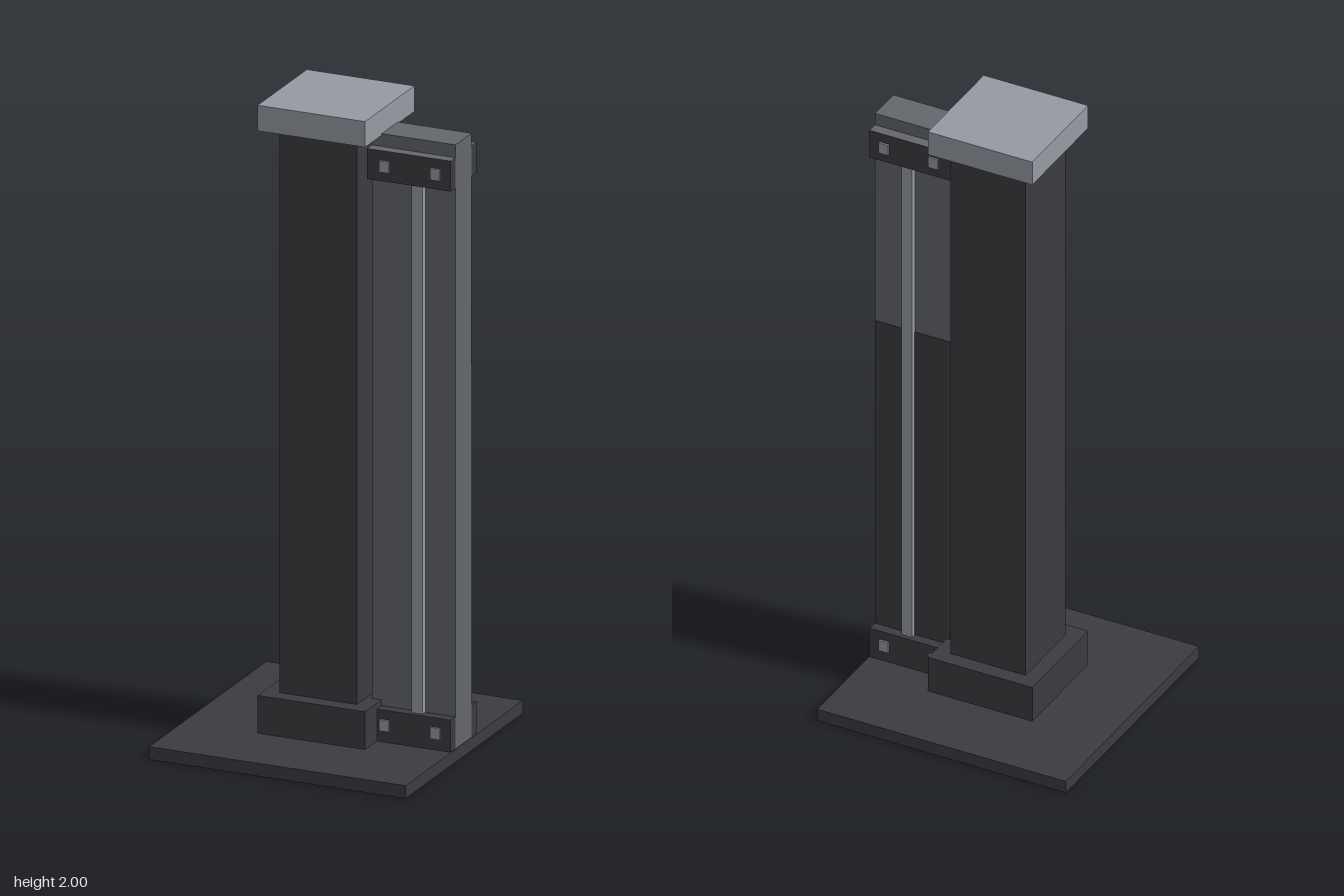
import * as THREE from 'three';

export function createModel() {
  const model = new THREE.Group();
  const mat = (name, color) => {
    const m = new THREE.MeshStandardMaterial({ color });
    m.name = name;
    return m;
  };
  const dark = mat('charcoal', 0x3c3b41);
  const grey = mat('midGrey', 0x63666c);
  const light = mat('lightGrey', 0x959aa2);

  // Box given by its extents on each axis
  const box = (name, material, [x0, x1], [y0, y1], [z0, z1]) => {
    const mesh = new THREE.Mesh(new THREE.BoxGeometry(x1 - x0, y1 - y0, z1 - z0), material);
    mesh.position.set((x0 + x1) / 2, (y0 + y1) / 2, (z0 + z1) / 2);
    mesh.name = name;
    model.add(mesh);
  };
  // Same, mirrored to the front (s = 1) or back (s = -1)
  const sideBox = (name, material, x, y, z, s) =>
    box(name, material, x, y, s > 0 ? z : [-z[1], -z[0]]);

  // Post on its base plate
  box('basePlate', dark, [-0.415, 0.415], [0, 0.04], [-0.415, 0.415]);
  box('postCollar', dark, [-0.174, 0.174], [0.04, 0.158], [-0.174, 0.174]);
  box('post', dark, [-0.125, 0.125], [0.158, 1.92], [-0.125, 0.125]);
  box('postCap', light, [-0.174, 0.174], [1.92, 2], [-0.174, 0.174]);

  // Side panel beside the post
  const panelX = [0.142, 0.413];
  box('sidePanel', grey, panelX, [0.04, 1.925], [-0.057, 0.057]);
  box('backLowerFace', dark, panelX, [0.14, 1.2], [-0.059, -0.057]);

  // Rails, clamps and bolts on both faces of the panel
  const topGrey = [dark, dark, grey, dark, dark, dark];
  for (const s of [1, -1]) {
    sideBox('rail', light, [0.28, 0.315], [0.14, 1.79], [0.057, 0.077], s);
    sideBox('upperClamp', topGrey, panelX, [1.79, 1.885], [0.057, 0.091], s);
    sideBox('lowerClamp', dark, panelX, [0.04, 0.14], [0.057, 0.091], s);
    for (const y of [0.093, 1.837])
      for (const x of [0.199, 0.364])
        sideBox('bolt', light, [x - 0.016, x + 0.016], [y - 0.018, y + 0.018], [0.091, 0.097], s);
  }
  return model;
}
